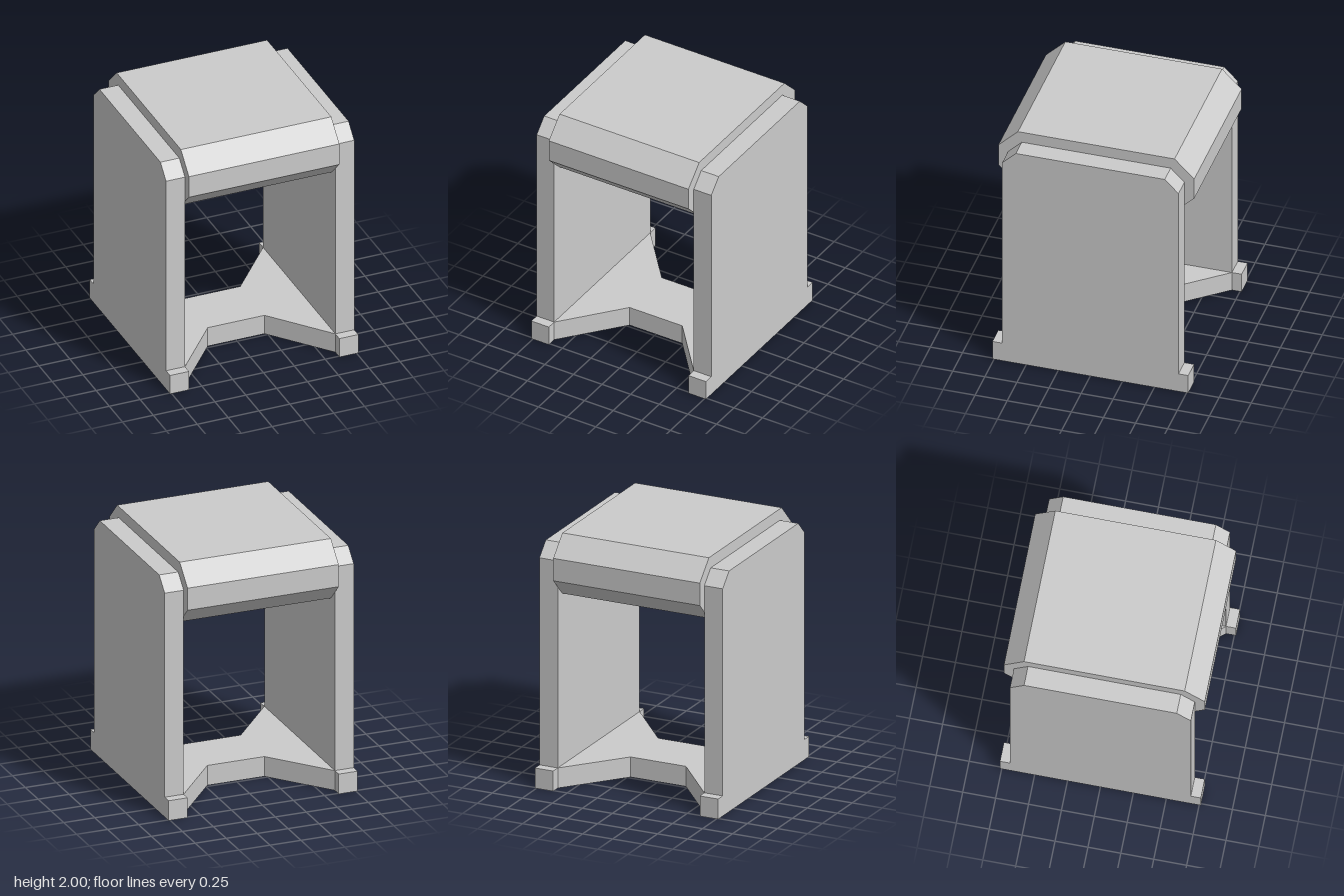
import * as THREE from 'three';

const OUT = 0.763, IN = 0.61; // outer and inner faces of the side panels
const material = new THREE.MeshStandardMaterial({ color: 0xcccccc, flatShading: true });

// Extrude an outline given by its right half, mirrored about the vertical axis
function mirroredPrism(half, depth) {
  const left = half.map(([u, v]) => [-u, v]).reverse();
  const shape = new THREE.Shape([...half, ...left].map(([u, v]) => new THREE.Vector2(u, v)));
  return new THREE.ExtrudeGeometry(shape, { depth, bevelEnabled: false });
}

function addPart(group, name, geometry) {
  const mesh = new THREE.Mesh(geometry, material);
  mesh.name = name;
  group.add(mesh);
}

export function createModel() {
  const group = new THREE.Group();
  group.name = 'stool';

  // Chamfered seat block between the panels
  const seat = mirroredPrism([[0.61, 1.52], [OUT, 1.67], [OUT, 1.848], [0.61, 2]], IN * 2);
  addPart(group, 'seat', seat.rotateY(Math.PI / 2).translate(-IN, 0, 0));

  // Side panels with clipped top corners and projecting feet
  const panelOutline = [[OUT, 0], [OUT, 0.16], [0.687, 0.16], [0.687, 1.803], [0.58, 1.91]];
  for (const [name, x] of [['leftPanel', IN], ['rightPanel', -OUT]]) {
    const panel = mirroredPrism(panelOutline, OUT - IN);
    addPart(group, name, panel.rotateY(Math.PI / 2).translate(x, 0, 0));
  }

  // Base plate, notched at the front and back
  const base = mirroredPrism([[0.23, -0.23], [IN, -0.687], [IN, 0.687], [0.23, 0.23]], 0.16);
  addPart(group, 'basePlate', base.rotateX(-Math.PI / 2));

  return group;
}
